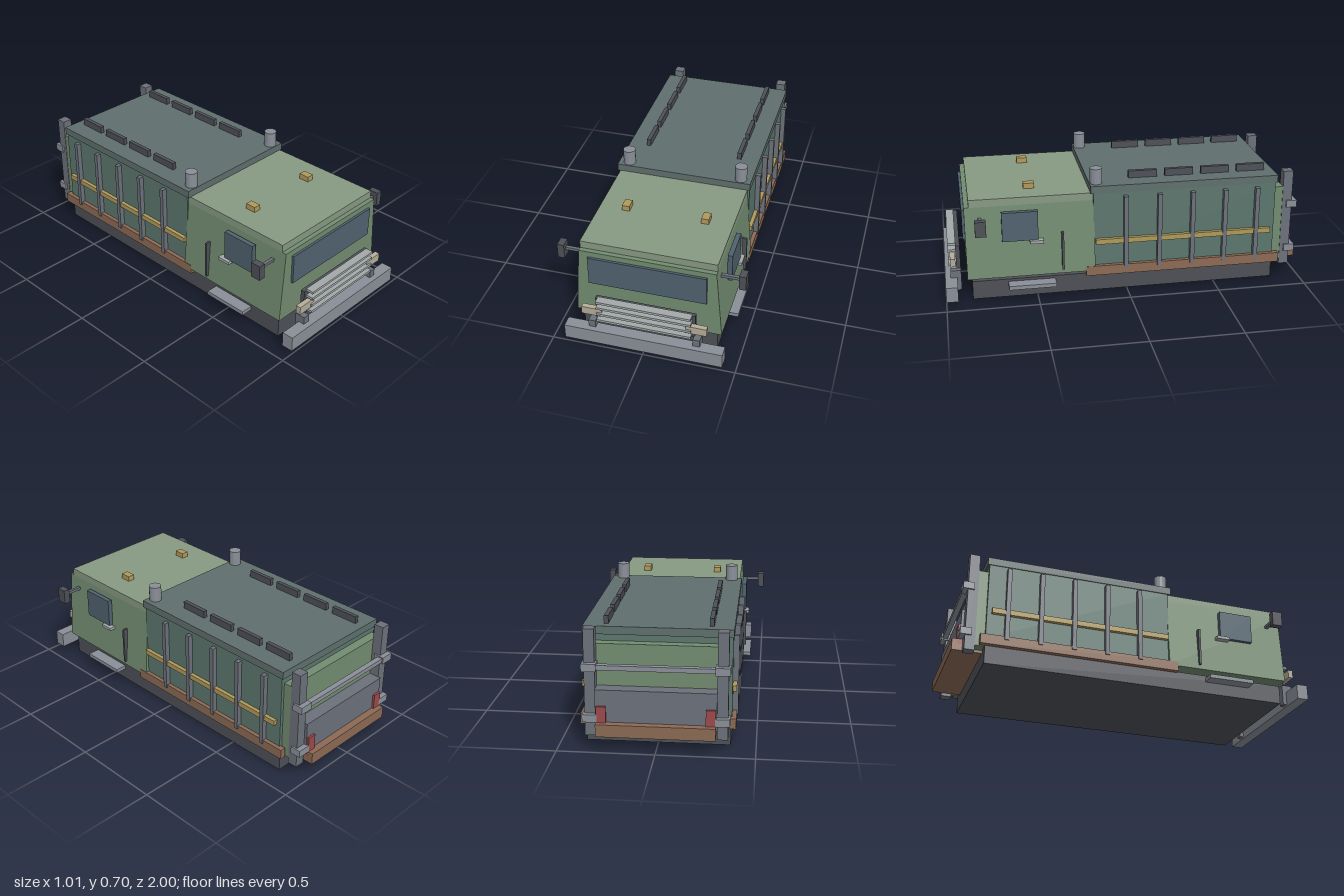
import * as THREE from 'three';

const mat = (color) => new THREE.MeshStandardMaterial({ color, flatShading: true });

export function createModel() {
  const model = new THREE.Group();
  const green = mat(0x738c70), paleGreen = mat(0x879a83), teal = mat(0x5c776e);
  const slate = mat(0x5f6f6d), dark = mat(0x4d5057), steel = mat(0x6c717a);
  const silver = mat(0x8a8f98), light = mat(0xa3a8a8), glass = mat(0x50626f);
  const brown = mat(0x8c6a54), yellow = mat(0xb09a5c), cream = mat(0xb5ad9a), red = mat(0x9c4a4a);

  // Box given by its lower and upper limits on each axis
  const box = (name, m, x0, x1, y0, y1, z0, z1) => {
    const mesh = new THREE.Mesh(new THREE.BoxGeometry(x1 - x0, y1 - y0, z1 - z0), m);
    mesh.position.set((x0 + x1) / 2, (y0 + y1) / 2, (z0 + z1) / 2);
    mesh.name = name;
    model.add(mesh);
    return mesh;
  };
  // Box centred on x = 0
  const wide = (name, m, w, ...r) => box(name, m, -w, w, ...r);
  // Box repeated on the left (+x) and right (-x)
  const pair = (name, m, x0, x1, ...r) => {
    box(name + 'Left', m, x0, x1, ...r);
    box(name + 'Right', m, -x1, -x0, ...r);
  };

  // Chassis and cab with inward sloping sides
  wide('chassis', dark, 0.37, 0, 0.105, -0.84, 0.855);
  const outline = new THREE.Shape([[-0.397, 0.13], [0.397, 0.13], [0.365, 0.535], [-0.365, 0.535]]
    .map(([x, y]) => new THREE.Vector2(x, y)));
  const cab = new THREE.Mesh(new THREE.ExtrudeGeometry(outline, { depth: 0.7, bevelEnabled: false }), green);
  cab.position.z = 0.18;
  cab.name = 'cab';
  model.add(cab);
  wide('cabRoof', paleGreen, 0.365, 0.535, 0.577, 0.18, 0.855);
  wide('windshield', glass, 0.317, 0.337, 0.503, 0.875, 0.893);
  pair('roofLamp', yellow, 0.197, 0.238, 0.577, 0.607, 0.49, 0.55);

  // Cab side fittings
  pair('sideWindow', glass, 0.375, 0.401, 0.34, 0.505, 0.49, 0.685);
  pair('doorHandle', light, 0.385, 0.42, 0.325, 0.342, 0.462, 0.537);
  pair('doorStrip', dark, 0.375, 0.408, 0.155, 0.37, 0.352, 0.364);
  pair('step', silver, 0.365, 0.437, 0.068, 0.09, 0.4, 0.66);
  pair('mirrorArm', steel, 0.37, 0.47, 0.46, 0.476, 0.79, 0.808);
  pair('mirror', dark, 0.468, 0.505, 0.42, 0.505, 0.772, 0.83);

  // Grille, headlights and front bumper
  wide('grille', dark, 0.27, 0.135, 0.28, 0.912, 0.936);
  for (const y of [0.162, 0.204, 0.246, 0.284]) {
    wide('grilleSlat', light, 0.255, y - 0.007, y + 0.007, 0.934, 0.978);
  }
  pair('headlight', cream, 0.228, 0.338, 0.186, 0.232, 0.94, 0.968);
  wide('frontBumper', silver, 0.43, 0.02, 0.105, 0.935, 1);
  pair('bumperBracket', steel, 0.265, 0.303, 0.03, 0.147, 0.912, 0.97);

  // Cargo body, roof and skirts
  wide('cargoBody', teal, 0.375, 0.14, 0.578, -0.84, 0.185);
  wide('cargoRoof', slate, 0.38, 0.575, 0.617, -0.85, 0.2);
  pair('skirt', brown, 0.365, 0.397, 0.1, 0.155, -0.87, 0.23);
  pair('sideRail', yellow, 0.37, 0.396, 0.283, 0.312, -0.815, 0.175);
  for (const z of [0.008, -0.18, -0.366, -0.55, -0.732]) {
    pair('sideRib', steel, 0.37, 0.403, 0.135, 0.556, z - 0.012, z + 0.012);
  }
  for (let i = 0; i < 4; i++) {
    const z = -0.105 - i * 0.205;
    pair('roofRail', dark, 0.255, 0.278, 0.615, 0.657, z - 0.08, z + 0.08);
  }

  // Exhaust stacks
  for (const side of [1, -1]) {
    const stack = new THREE.Mesh(new THREE.CylinderGeometry(0.034, 0.034, 0.12, 16), silver);
    stack.position.set(side * 0.32, 0.643, 0.162);
    stack.name = side > 0 ? 'exhaustLeft' : 'exhaustRight';
    model.add(stack);
  }

  // Rear wall, posts, tailgate and step
  wide('rearWall', green, 0.357, 0.1, 0.54, -0.89, -0.835);
  pair('rearPost', steel, 0.305, 0.36, 0.07, 0.63, -0.945, -0.89);
  pair('upperHinge', silver, 0.295, 0.37, 0.417, 0.457, -0.972, -0.912);
  pair('lowerHinge', silver, 0.295, 0.37, 0.15, 0.19, -0.972, -0.912);
  wide('rearBar', silver, 0.3, 0.425, 0.45, -0.965, -0.935);
  wide('tailgate', steel, 0.305, 0.15, 0.32, -0.96, -0.885);
  pair('tailLight', red, 0.25, 0.3, 0.12, 0.235, -0.972, -0.94);
  wide('rearStep', brown, 0.3, 0.085, 0.15, -1, -0.83);

  return model;
}
